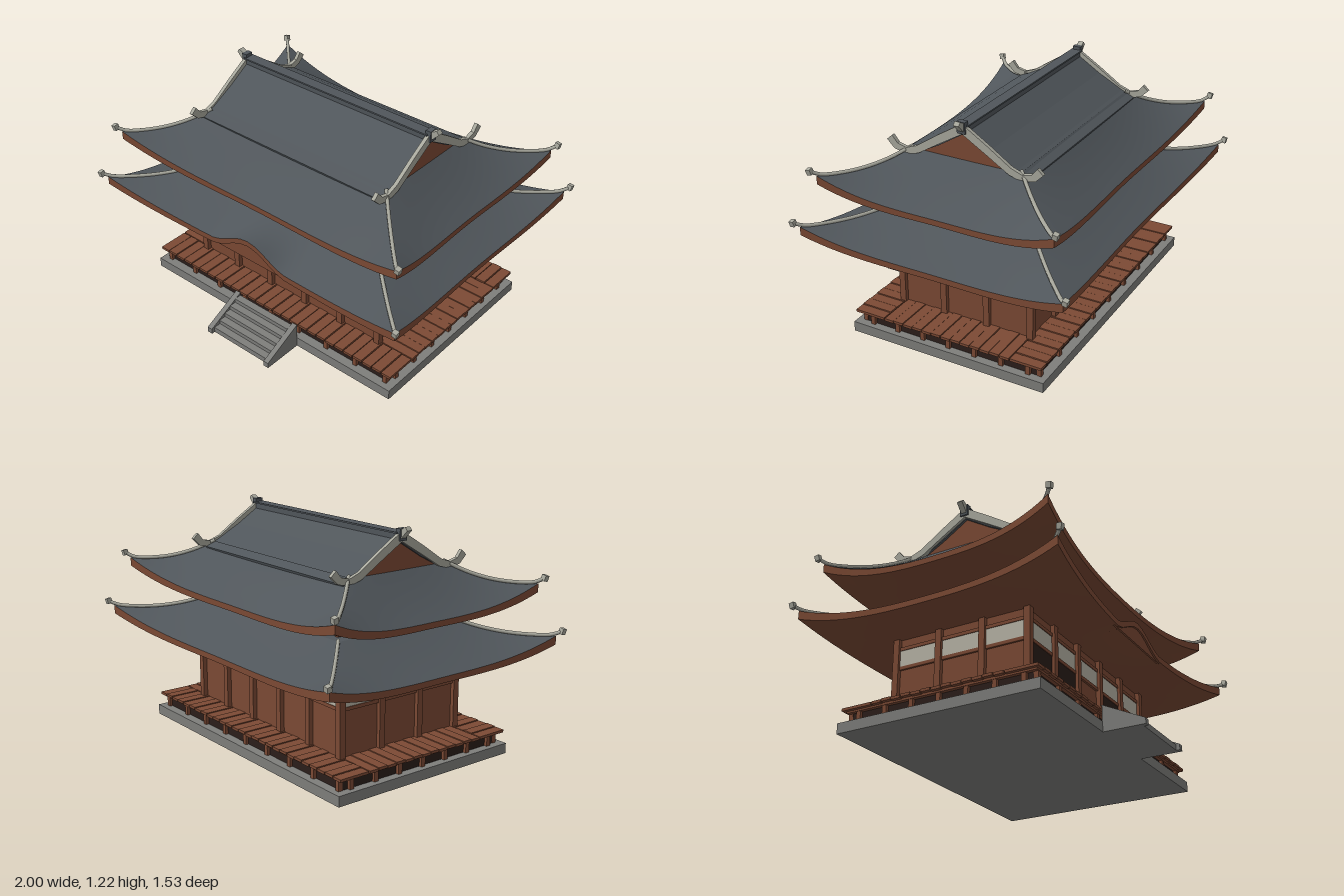
import * as THREE from 'three';

const mat = (name, color, extra = {}) => new THREE.MeshStandardMaterial({ name, color, ...extra });

export function createModel() {
  const root = new THREE.Group();
  root.name = 'temple';
  const tile = mat('roof tile', 0x50565b, { side: THREE.DoubleSide });
  const wood = mat('wood', 0x7c4a34, { side: THREE.DoubleSide });
  const plaster = mat('plaster', 0xb9b5a7);
  const dark = mat('dark lattice', 0x2b1e1a);
  const stone = mat('stone', 0x7e7e7b);
  const trim = mat('pale trim', 0xa9a99e);

  const add = (name, geo, m, parent = root) => {
    const mesh = new THREE.Mesh(geo, m);
    mesh.name = name;
    parent.add(mesh);
    return mesh;
  };
  const group = (name) => {
    const g = new THREE.Group();
    g.name = name;
    root.add(g);
    return g;
  };
  const box = (name, w, h, d, x, y, z, m, parent) => {
    const b = add(name, new THREE.BoxGeometry(w, h, d), m, parent);
    b.position.set(x, y, z);
    return b;
  };
  // extrude a [z, y] outline along x, between x0 and x1
  const extrudeX = (name, pts, x0, x1, m, parent) => {
    const shape = new THREE.Shape(pts.map(([a, b]) => new THREE.Vector2(a, b)));
    const geo = new THREE.ExtrudeGeometry(shape, { depth: x1 - x0, bevelEnabled: false });
    geo.rotateY(-Math.PI / 2).translate(x1, 0, 0);
    return add(name, geo, m, parent);
  };
  // close a half outline by mirroring it across z = 0
  const mirrored = (upper, lower) => [
    ...upper.slice().reverse(), ...upper.slice(1).map(([z, y]) => [-z, y]),
    ...lower.slice().reverse().map(([z, y]) => [-z, y]), ...lower.slice(1),
  ];

  // ---- stone base and stairs
  box('foundation', 1.63, 0.054, 1.1, 0, 0.027, 0, stone);
  const stairs = group('stairs');
  for (let i = 0; i < 5; i++) {
    const h = 0.03 + i * 0.023, d = 0.2 - i * 0.04;
    box('step', 0.37, h, d, 0, h / 2, 0.55 + d / 2, stone, stairs);
  }
  for (const s of [-1, 1])
    extrudeX('stairCheek', [[0.548, 0], [0.77, 0], [0.77, 0.03], [0.548, 0.138]],
      s * 0.2 - 0.015, s * 0.2 + 0.015, stone, stairs);

  // ---- raised veranda with separate planks
  const deck = group('veranda');
  box('crawlSpace', 1.54, 0.06, 1.0, 0, 0.083, 0, dark, deck);
  box('deckFrame', 1.58, 0.012, 1.04, 0, 0.112, 0, wood, deck);
  const plankCount = 27, pw = 1.62 / plankCount;
  for (let i = 0; i < plankCount; i++) {
    const x = -0.81 + pw * (i + 0.5);
    for (const s of [-1, 1])
      box('plank', pw - 0.005, 0.014, 0.17, x, 0.122 + 0.003 * (i % 2), s * 0.45, wood, deck);
  }
  for (let i = 0; i < 13; i++)
    for (const s of [-1, 1])
      box('sidePlank', 0.22, 0.014, 0.052, s * 0.7, 0.122 + 0.003 * (i % 2), (i - 6) * 0.0555, wood, deck);
  for (const s of [-1, 1]) {
    for (let i = -4; i <= 4; i++)
      box('deckPost', 0.024, 0.055, 0.024, i * 0.19, 0.081, s * 0.505, wood, deck);
    for (let i = -3; i <= 3; i++)
      box('deckPost', 0.024, 0.055, 0.024, s * 0.775, 0.081, i * 0.15, wood, deck);
  }

  // ---- main hall: posts, beams, plaster band and lattice windows
  const hall = group('hall');
  box('hallWall', 1.2, 0.42, 0.73, 0, 0.335, 0, wood, hall);
  const px = [-0.605, -0.363, -0.121, 0.121, 0.363, 0.605], pz = [-0.372, -0.124, 0.124, 0.372];
  for (const s of [-1, 1]) {
    for (const x of px) box('post', 0.034, 0.41, 0.034, x, 0.335, s * 0.372, wood, hall);
    for (const z of pz.slice(1, 3)) box('post', 0.034, 0.41, 0.034, s * 0.605, 0.335, z, wood, hall);
    for (const y of [0.374, 0.478]) {
      box('beam', 1.21, 0.018, 0.02, 0, y, s * 0.366, wood, hall);
      box('beam', 0.02, 0.018, 0.74, s * 0.601, y, 0, wood, hall);
    }
    box('plasterBand', 1.18, 0.086, 0.008, 0, 0.426, s * 0.368, plaster, hall);
    box('plasterBand', 0.008, 0.086, 0.71, s * 0.603, 0.426, 0, plaster, hall);
    for (const x of [0.242, 0.484])
      box('latticeWindow', 0.208, 0.158, 0.008, s * x, 0.286, 0.368, dark, hall);
  }

  // ---- upper storey
  const upper = group('upperStorey');
  box('upperWall', 1.0, 0.12, 0.6, 0, 0.73, 0, plaster, upper);
  for (const s of [-1, 1]) {
    for (let i = -3; i <= 3; i++) box('upperPost', 0.022, 0.11, 0.022, i * 0.165, 0.735, s * 0.3, wood, upper);
    box('upperBeam', 1.02, 0.016, 0.02, 0, 0.772, s * 0.3, wood, upper);
    box('upperBeam', 0.02, 0.016, 0.62, s * 0.5, 0.772, 0, wood, upper);
  }

  // ---- curved eaves: four lofted sides, rotated about the centre
  const grid = (f, nu, nv) => {
    const pos = [], idx = [];
    for (let i = 0; i <= nu; i++)
      for (let j = 0; j <= nv; j++) pos.push(...f((i / nu) * 2 - 1, j / nv));
    for (let i = 0; i < nu; i++)
      for (let j = 0; j < nv; j++) {
        const a = i * (nv + 1) + j, c = a + nv + 1;
        idx.push(a, a + 1, c, c, a + 1, c + 1);
      }
    const g = new THREE.BufferGeometry();
    g.setAttribute('position', new THREE.Float32BufferAttribute(pos, 3));
    g.setIndex(idx);
    g.computeVertexNormals();
    return g;
  };
  const bell = (x, w) => (Math.abs(x) < w ? (1 + Math.cos(Math.PI * x / w)) / 2 : 0);
  const lerp = THREE.MathUtils.lerp;

  function eaves(name, o) {
    const g = group(name);
    const turn = [(a, c) => [a, c], (a, c) => [c, -a], (a, c) => [-a, -c], (a, c) => [-c, a]];
    let hipPoint;
    for (let k = 0; k < 4; k++) {
      const [A, C] = k % 2 ? [2, 0] : [0, 2];
      const place = (inner, s, t, y) => {
        const across = lerp(inner[C], lerp(o.mid[C], o.corner[C], s * s), t);
        const along = s * lerp(inner[A], o.corner[A], t);
        const [x, z] = turn[k](along, across);
        return [x, y(along), z];
      };
      const lift = (s, t) => (o.corner[1] - o.mid[1]) * Math.abs(s) ** 3 * t * t;
      const bump = (x, t) => (k === 0 ? o.bump * bell(x, 0.26) * t ** 1.5 : 0);
      const top = (s, t) => place(o.inner, s, t, (x) =>
        lerp(o.inner[1], o.mid[1], 1.25 * t - 0.25 * t * t) + lift(s, t) + bump(x, t));
      const under = (s, t) => place(o.soffit, s, t, (x) =>
        lerp(o.soffit[1], o.mid[1] - 0.03, t) + lift(s, t) - 0.015 * s * s * t + bump(x, t));
      add('roofSlope', grid(top, 40, 8), tile, g);
      add('fascia', grid((s, v) => (v ? under(s, 1) : top(s, 1)), 40, 1), wood, g);
      add('soffit', grid((s, v) => under(s, 1 - v), 40, 6), wood, g);
      if (k === 0) hipPoint = (t) => top(1, t);
    }
    // hip ridges ending in small upturned blocks
    for (const sx of [-1, 1])
      for (const sz of [-1, 1]) {
        const pts = [0, 0.25, 0.5, 0.75, 0.96].map((t) => {
          const [x, y, z] = hipPoint(t);
          return new THREE.Vector3(sx * x, y + 0.008, sz * z);
        });
        const tip = new THREE.Vector3(sx * o.tip[0], o.tip[1], sz * o.tip[2]);
        pts.push(tip);
        add('hipRidge', new THREE.TubeGeometry(new THREE.CatmullRomCurve3(pts), 20, 0.01, 6), trim, g);
        const b = box('hipEnd', 0.026, 0.03, 0.026, ...tip.toArray(), trim, g);
        b.rotation.set(0.2 * sz, 0, -0.2 * sx);
      }
    return g;
  }

  const lower = eaves('lowerRoof', {
    inner: [0.57, 0.7, 0.36], mid: [0.915, 0.545, 0.66], corner: [0.962, 0.63, 0.722],
    soffit: [0.6, 0.53, 0.365], bump: 0.088, tip: [0.982, 0.655, 0.745],
  });
  box('roofShelf', 1.14, 0.01, 0.72, 0, 0.695, 0, tile, lower);
  // boarding below the curved porch gable
  const porch = new THREE.Shape();
  porch.moveTo(-0.26, 0.515);
  porch.lineTo(0.26, 0.515);
  for (let i = 16; i >= -16; i--) porch.lineTo(i * 0.01625, 0.518 + 0.088 * bell(i * 0.01625, 0.26));
  add('porchBoard', new THREE.ExtrudeGeometry(porch, { depth: 0.01, bevelEnabled: false }), wood, lower)
    .position.z = 0.643;

  const high = eaves('upperRoof', {
    inner: [0.572, 1.0, 0.3], mid: [0.845, 0.797, 0.58], corner: [0.9, 0.9, 0.642],
    soffit: [0.5, 0.778, 0.3], bump: 0, tip: [0.922, 0.928, 0.662],
  });

  // ---- gabled top
  extrudeX('gableRoof', mirrored(
    [[0, 1.165], [0.14, 1.078], [0.28, 1.005], [0.35, 0.975]],
    [[0, 1.135], [0.14, 1.048], [0.28, 0.975], [0.34, 0.95]]), -0.59, 0.59, tile, high);
  box('mainRidge', 1.18, 0.04, 0.045, 0, 1.165, 0, tile, high);
  box('ridgeCap', 1.19, 0.008, 0.06, 0, 1.183, 0, tile, high);
  const verge = mirrored(
    [[0, 1.192], [0.14, 1.105], [0.26, 1.025], [0.32, 1.003], [0.37, 1.015], [0.4, 1.052]],
    [[0, 1.14], [0.14, 1.056], [0.25, 0.988], [0.32, 0.968], [0.39, 0.985], [0.43, 1.025]]);
  for (const s of [-1, 1]) {
    extrudeX('gableWall', [[-0.31, 0.96], [0.31, 0.96], [0.14, 1.055], [0, 1.14], [-0.14, 1.055]],
      s * 0.565 - 0.012, s * 0.565 + 0.012, wood, high);
    extrudeX('verge', verge, s * 0.594 - 0.01, s * 0.594 + 0.01, trim, high);
    box('ridgeEnd', 0.03, 0.06, 0.044, s * 0.598, 1.175, 0, tile, high);
    // outward sweeping ridge horn
    const horn = new THREE.Shape([[0.58, 1.165], [0.61, 1.155], [0.655, 1.2], [0.64, 1.217], [0.59, 1.19]]
      .map(([x, y]) => new THREE.Vector2(x, y)));
    const hornGeo = new THREE.ExtrudeGeometry(horn, { depth: 0.03, bevelEnabled: false }).translate(0, 0, -0.015);
    if (s < 0) hornGeo.rotateY(Math.PI);
    add('ridgeHorn', hornGeo, trim, high);
  }
  return root;
}
